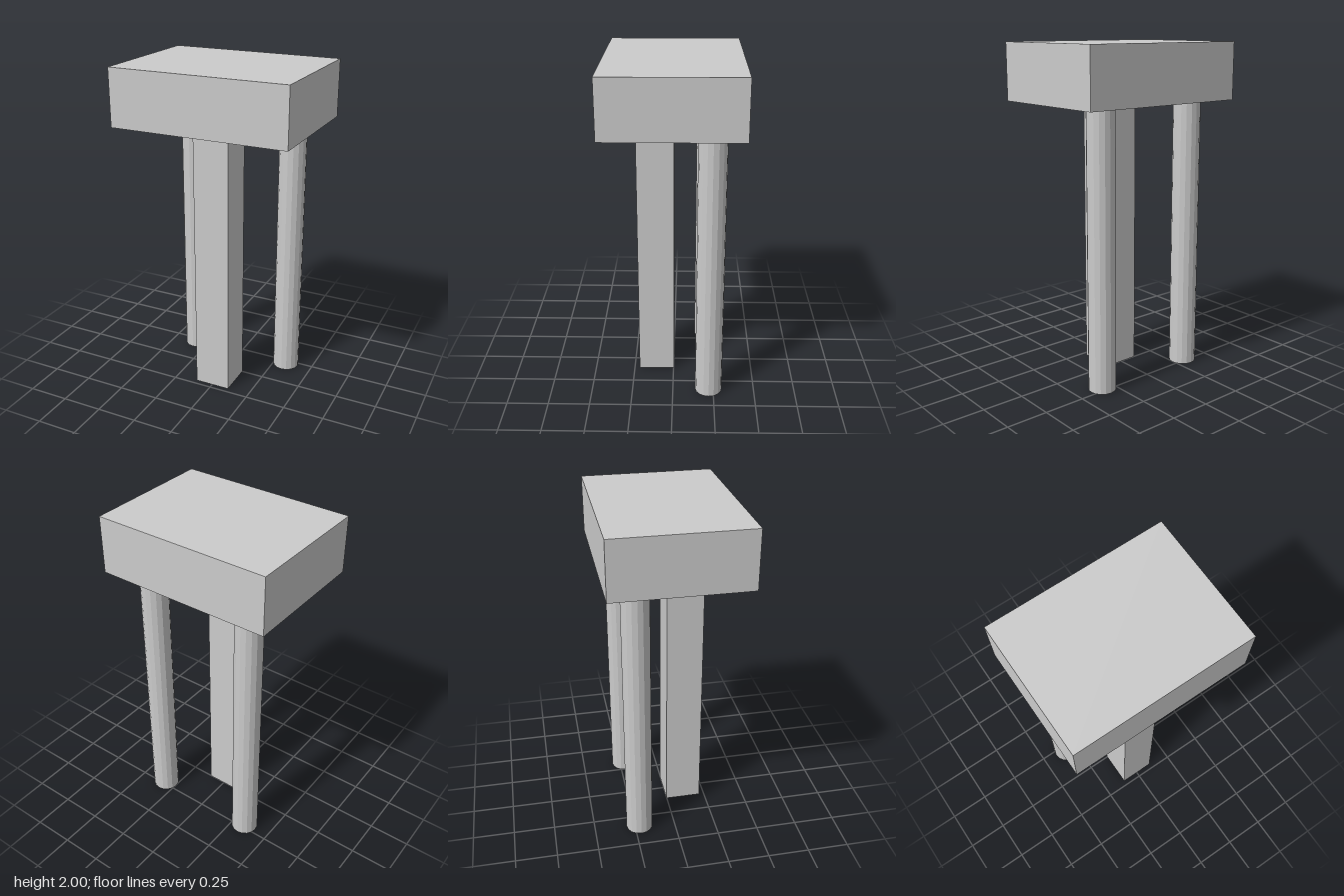
import * as THREE from 'three';

const SEAT_BOTTOM = 1.66;

export function createModel() {
  const group = new THREE.Group();
  const solid = new THREE.MeshStandardMaterial({ color: 0xcccccc, flatShading: true });
  const open = new THREE.MeshStandardMaterial({ color: 0xcccccc, flatShading: true, side: THREE.DoubleSide });

  // Thick rectangular slab on top
  const seat = new THREE.Mesh(new THREE.BoxGeometry(1.066, 2 - SEAT_BOTTOM, 0.792), solid);
  seat.name = 'seat';
  seat.position.y = (2 + SEAT_BOTTOM) / 2;
  group.add(seat);

  // Hollow leg, open at both ends
  function addLeg(name, radius, sides, x, z, turn = 0) {
    const geometry = new THREE.CylinderGeometry(radius, radius, SEAT_BOTTOM, sides, 1, true);
    geometry.rotateY(turn);
    const leg = new THREE.Mesh(geometry, open);
    leg.name = name;
    leg.position.set(x, SEAT_BOTTOM / 2, z);
    group.add(leg);
  }

  // Square front leg and two round back legs
  addLeg('frontLeg', 0.11 * Math.SQRT2, 4, 0, 0.108, Math.PI / 4);
  addLeg('backLeftLeg', 0.082, 16, 0.328, -0.22);
  addLeg('backRightLeg', 0.082, 16, -0.328, -0.22);

  return group;
}
